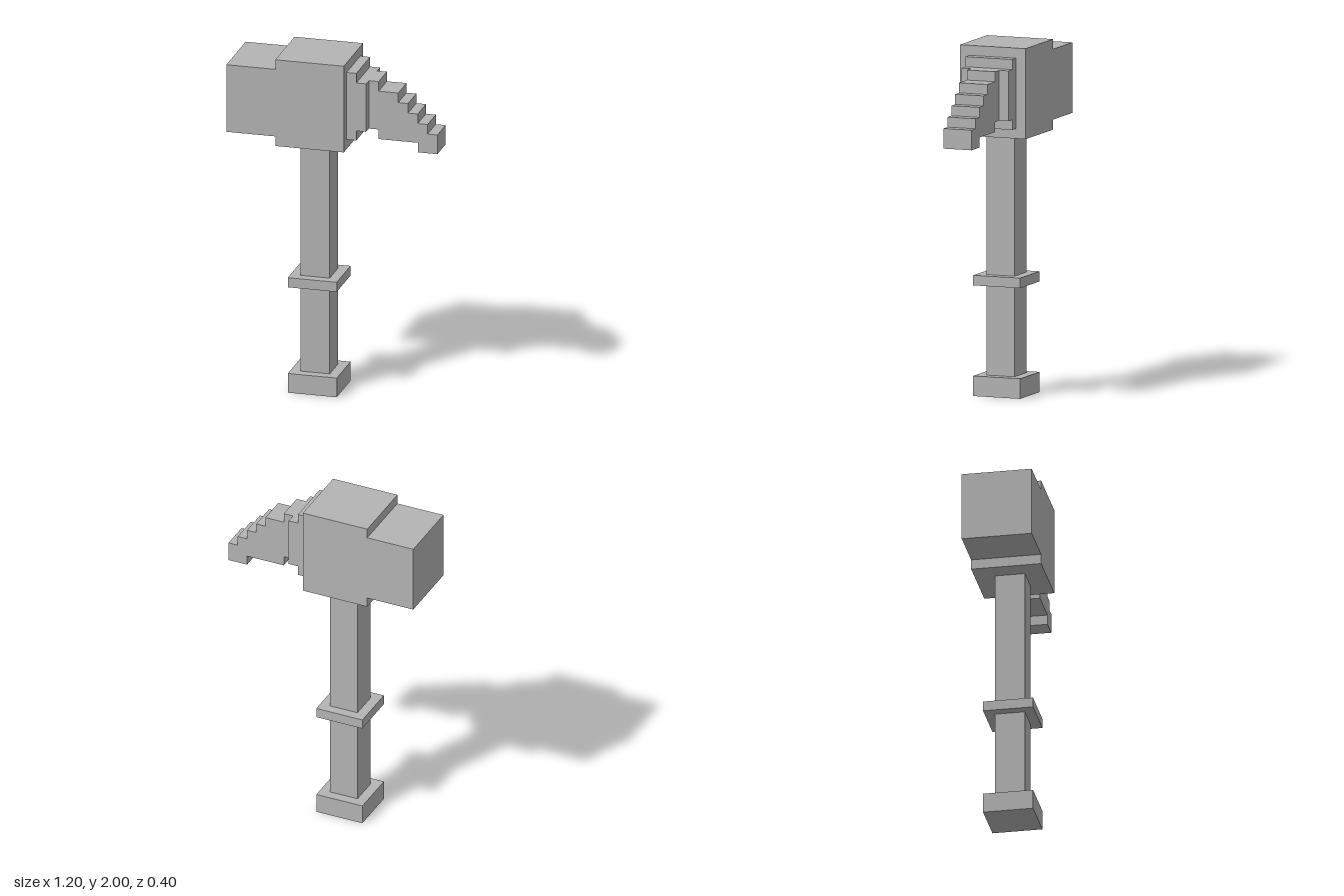
import * as THREE from 'three';

const U = 2 / 35; // one grid step; the hammer is 21 steps wide and 35 tall
const grey = new THREE.MeshStandardMaterial({ color: 0xb4b4b4 });
grey.name = 'grey';

// Box spanning grid columns x0..x1 and rows y0..y1, with depth in steps
function block(name, x0, x1, y0, y1, depth) {
  const mesh = new THREE.Mesh(new THREE.BoxGeometry((x1 - x0) * U, (y1 - y0) * U, depth * U), grey);
  mesh.position.set(((x0 + x1) / 2 - 10.5) * U, ((y0 + y1) / 2) * U, 0);
  mesh.name = name;
  return mesh;
}

// Stepped outline from columns [x0, x1, bottom, top], extruded along z
function steppedPlate(name, columns, depth) {
  const top = columns.flatMap(([a, b, , t]) => [[a, t], [b, t]]);
  const bottom = columns.flatMap(([a, b, l]) => [[a, l], [b, l]]);
  const points = [...bottom, ...top.reverse()].map(([x, y]) => new THREE.Vector2((x - 10.5) * U, y * U));
  const unique = points.filter((p, i) => i === 0 || !p.equals(points[i - 1]));
  const geometry = new THREE.ExtrudeGeometry(new THREE.Shape(unique), { depth: depth * U, bevelEnabled: false });
  geometry.translate(0, 0, -depth * U / 2);
  const mesh = new THREE.Mesh(geometry, grey);
  mesh.name = name;
  return mesh;
}

export function createModel() {
  const hammer = new THREE.Group();
  hammer.name = 'warHammer';

  // Handle with its pommel and grip ring
  hammer.add(
    block('pommel', 6, 11, 0, 2, 5),
    block('lowerHandle', 7, 10, 2, 11, 3),
    block('gripRing', 6, 11, 11, 12, 5),
    block('upperHandle', 7, 10, 12, 26, 3),
  );

  // Head with the striking block, one stepped outline
  hammer.add(steppedPlate('hammerHead', [[0, 5, 27, 34], [5, 12, 26, 35]], 7));

  // Stepped neck between head and spike
  hammer.add(steppedPlate('spikeNeck', [[12, 13, 27, 34], [13, 14, 28, 33]], 5));

  // Drooping back spike
  hammer.add(steppedPlate('spike', [
    [14, 15, 28, 33],
    [15, 17, 27, 32],
    [17, 18, 27, 31],
    [18, 19, 27, 30],
    [19, 20, 26, 29],
    [20, 21, 26, 28],
  ], 3));

  return hammer;
}
